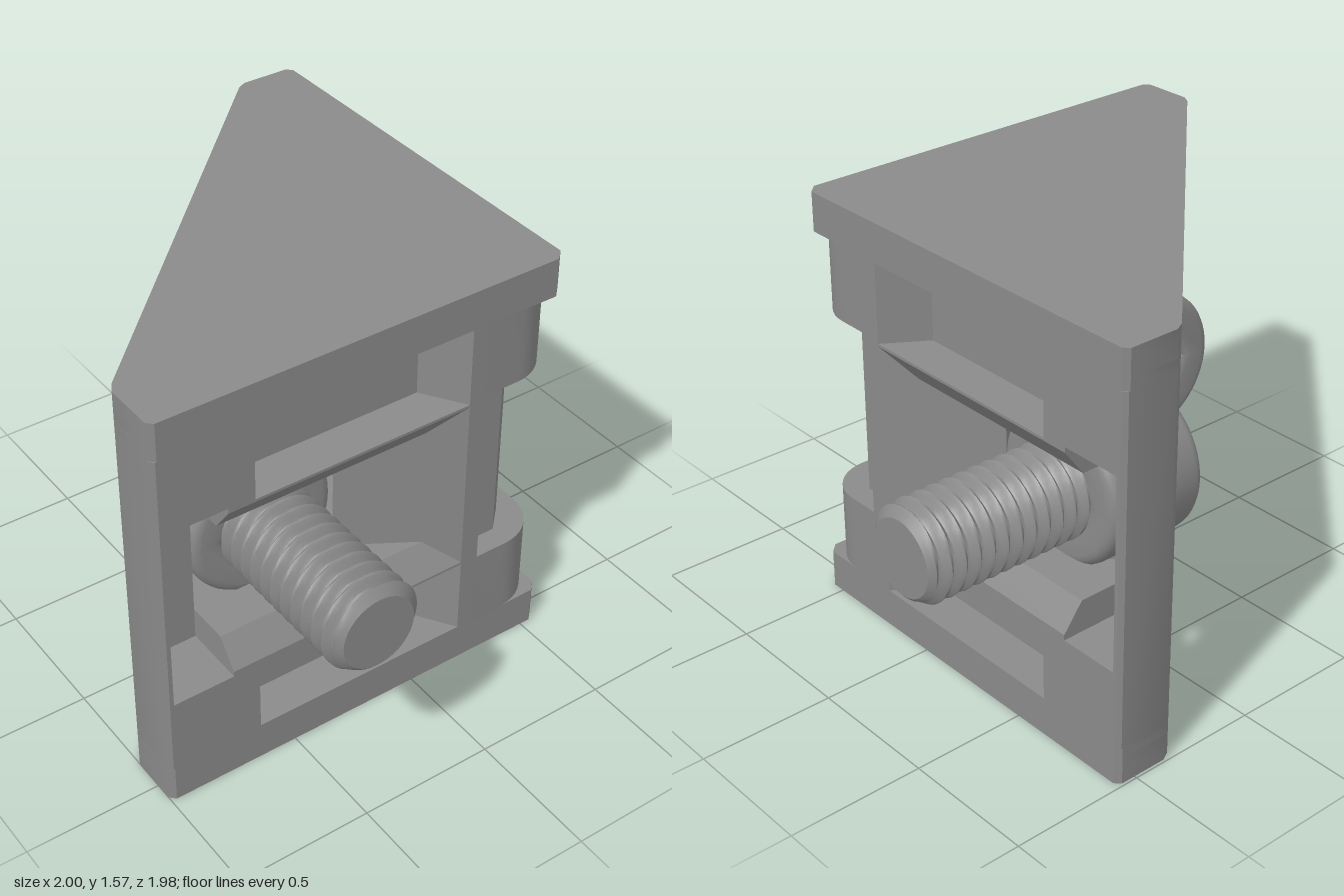
import * as THREE from 'three';
import { toCreasedNormals } from 'three/addons/utils/BufferGeometryUtils.js';

const H = 1.57, MID = 0.785;
const grey = new THREE.MeshStandardMaterial({ color: 0x8a8a8a, side: THREE.DoubleSide });
grey.name = 'grey metal';

function add(parent, name, geometry) {
  const mesh = new THREE.Mesh(geometry, grey);
  mesh.name = name;
  parent.add(mesh);
  return mesh;
}

// Flat faces, each a convex list of [x, y, z] corners
function faces(polys) {
  const v = [];
  for (const p of polys)
    for (let i = 1; i < p.length - 1; i++) v.push(...p[0], ...p[i], ...p[i + 1]);
  const g = new THREE.BufferGeometry();
  g.setAttribute('position', new THREE.Float32BufferAttribute(v, 3));
  g.computeVertexNormals();
  return g;
}

// Plan outline in [x, z], raised from y0 to y1
function prism(points, y0, y1) {
  const shape = new THREE.Shape(points.map(([x, z]) => new THREE.Vector2(x, -z)));
  const g = new THREE.ExtrudeGeometry(shape, { depth: y1 - y0, bevelEnabled: false });
  g.rotateX(-Math.PI / 2).translate(0, y0, 0);
  return toCreasedNormals(g, 0.6);
}

const rect = ([x0, x1, y0, y1]) => [[x0, y0], [x1, y0], [x1, y1], [x0, y1]];
const vecs = (pts) => pts.map(([x, y]) => new THREE.Vector2(x, y));

// Flat wall skin at depth z with openings
function skin(outline, holes, z) {
  const s = new THREE.Shape(vecs(outline));
  for (const h of holes) s.holes.push(new THREE.Path(vecs(h)));
  return new THREE.ShapeGeometry(s).translate(0, 0, z);
}

// Sides (0 bottom, 1 right, 2 top, 3 left) joining rectangles at successive depths
function recess(steps, sides, floor) {
  const polys = [];
  const loops = steps.map(([r, z]) => rect(r).map(([x, y]) => [x, y, z]));
  for (let k = 0; k + 1 < loops.length; k++)
    for (const i of sides) {
      const j = (i + 1) % 4;
      polys.push([loops[k][i], loops[k][j], loops[k + 1][j], loops[k + 1][i]]);
    }
  if (floor) polys.push(loops[loops.length - 1]);
  return faces(polys);
}

// Rolled thread: radius follows a helical wave, with a chamfered tip
function threadGeometry() {
  const z0 = 0.3, z1 = 0.99, pitch = 0.056;
  const g = new THREE.CylinderGeometry(1, 1, z1 - z0, 40, 74);
  g.rotateX(Math.PI / 2).translate(0, 0, (z0 + z1) / 2);
  const p = g.attributes.position;
  for (let i = 0; i < p.count; i++) {
    const x = p.getX(i), y = p.getY(i), z = p.getZ(i);
    if (Math.hypot(x, y) < 0.5) continue;
    const wave = Math.cos(2 * Math.PI * z / pitch - Math.atan2(y, x));
    const r = Math.min(0.158 + 0.017 * wave, 0.135 + (z1 - z) * 1.2);
    p.setXY(i, x * r, y * r);
  }
  return toCreasedNormals(g, 0.6);
}

// Cap head with a hexagonal socket
function headGeometry() {
  const s = new THREE.Shape();
  s.absarc(0, 0, 0.24, 0, Math.PI * 2, false);
  const hex = [];
  for (let i = 0; i < 6; i++) hex.push([0.185 * Math.cos(i * Math.PI / 3), 0.185 * Math.sin(i * Math.PI / 3)]);
  s.holes.push(new THREE.Path(vecs(hex)));
  const g = new THREE.ExtrudeGeometry(s, {
    depth: 0.32, bevelSize: 0.04, bevelThickness: 0.04, bevelSegments: 4, curveSegments: 28,
  });
  return toCreasedNormals(g.translate(0, 0, -0.01), 0.6);
}

// One wall with its pockets, window and screw
function buildSide(name, screwShift) {
  const side = new THREE.Group();
  side.name = name;
  const upper = [-0.64, 0.2, 1.13, 1.425], lower = [-0.64, 0.2, 0.145, 0.44];
  const window = [-0.74, -0.18, 0.55, 1.02];
  const opening = [[-0.97, 0.43], [-0.74, 0.43], [-0.74, 0.45], [0.2, 0.45],
    [0.2, 1.12], [-0.74, 1.12], [-0.74, 1.14], [-0.97, 1.14]];
  const outline = [[-0.985, 0.14], [0.4, 0.14], [0.4, 0.44], [0.27, 0.44],
    [0.27, 1.14], [0.4, 1.14], [0.4, 1.43], [-0.985, 1.43]];
  add(side, 'outerWall', skin(outline, [rect(upper), rect(lower), opening], 0.575));
  add(side, 'upperPocket', recess([[upper, 0.575], [[-0.54, 0.1, 1.13, 1.425], 0.42]], [0, 1, 2, 3], true));
  add(side, 'lowerPocket', recess([[lower, 0.575], [[-0.54, 0.1, 0.145, 0.44], 0.42]], [0, 1, 2, 3], true));
  add(side, 'windowFrame', recess([
    [[-0.74, 0.2, 0.45, 1.12], 0.575], [[-0.74, 0.08, 0.55, 1.02], 0.5], [window, 0.34]], [0, 1, 2], false));
  add(side, 'endRecess', recess([
    [[-0.97, -0.74, 0.43, 1.14], 0.575], [[-0.93, -0.74, 0.43, 1.14], 0.34]], [0, 2, 3], false));
  add(side, 'barEnds', faces([0, 1].map((low) =>
    [[1.14, 0.575], [1.12, 0.575], [1.02, 0.5], [1.02, 0.34], [1.14, 0.34]]
      .map(([y, z]) => [-0.74, low ? H - y : y, z]))));
  add(side, 'innerWall', skin(rect([-0.97, -0.17, 0.14, 1.43]), [rect(window)], 0.34));
  add(side, 'endPost', prism([[-0.97, 0.575], [-0.985, 0.575], [-1, 0.56], [-1, 0.37], [-0.98, 0.335], [-0.96, 0.34]], 0.14, 1.43));

  const screw = new THREE.Group();
  screw.name = 'screw';
  screw.position.set(-0.46, MID, screwShift);
  add(screw, 'thread', threadGeometry());
  add(screw, 'head', headGeometry());
  const seat = add(screw, 'socketFloor', new THREE.CylinderGeometry(0.2, 0.2, 0.18, 24));
  seat.rotation.x = Math.PI / 2;
  seat.position.z = 0.22;
  side.add(screw);
  return side;
}

export function createModel() {
  const model = new THREE.Group();
  model.name = 'cornerBracket';
  const body = new THREE.Group();
  body.name = 'body';
  body.position.z = 0.01;
  model.add(body);

  // Triangular end plates, each lined by a layer with a groove along its middle
  const half = [[-0.98, 0.335], [-1, 0.37], [-1, 0.555], [-0.98, 0.575], [0.54, 0.575]];
  const swap = (pts) => pts.map(([x, z]) => [z, x]).reverse();
  const plan = [...half, ...swap(half)];
  const groove = [[-0.2775, -0.3675], [0.125, 0.035], [0.035, 0.125], [-0.3675, -0.2775]];
  add(body, 'bottomPlate', prism(plan, 0, 0.1));
  add(body, 'topPlate', prism(plan, 1.47, H));
  add(body, 'bottomLining', prism([...plan, ...groove], 0.1, 0.145));
  add(body, 'topLining', prism([...plan, ...groove], 1.425, 1.47));

  // Rounded corner pads with a set-back post between them
  const pad = [[0.22, 0.22], [0.22, 0.575], [0.4, 0.575]];
  for (let i = 1; i <= 10; i++) {
    const a = Math.PI / 2 * (1 - i / 10);
    pad.push([0.4 + 0.175 * Math.cos(a), 0.4 + 0.175 * Math.sin(a)]);
  }
  pad.push([0.575, 0.22]);
  add(body, 'lowerPad', prism(pad, 0.14, 0.44));
  add(body, 'upperPad', prism(pad, 1.14, 1.43));
  const post = [[0.22, 0.57], [0.27, 0.575], [0.3, 0.49], [0.41, 0.49]];
  add(body, 'cornerPost', prism([[0.22, 0.22], ...post, ...swap(post)], 0.44, 1.14));

  // Two mirrored walls
  const front = buildSide('frontWall', -0.01);
  const right = buildSide('rightWall', 0.01);
  right.rotation.y = Math.PI / 2;
  right.scale.x = -1;
  body.add(front, right);

  // Upright web across the inner corner
  add(body, 'innerWeb', faces([
    [[-0.18, 0.14, 0.34], [0.34, 0.14, -0.18], [0.34, 1.43, -0.18], [-0.18, 1.43, 0.34]]]));
  return model;
}
